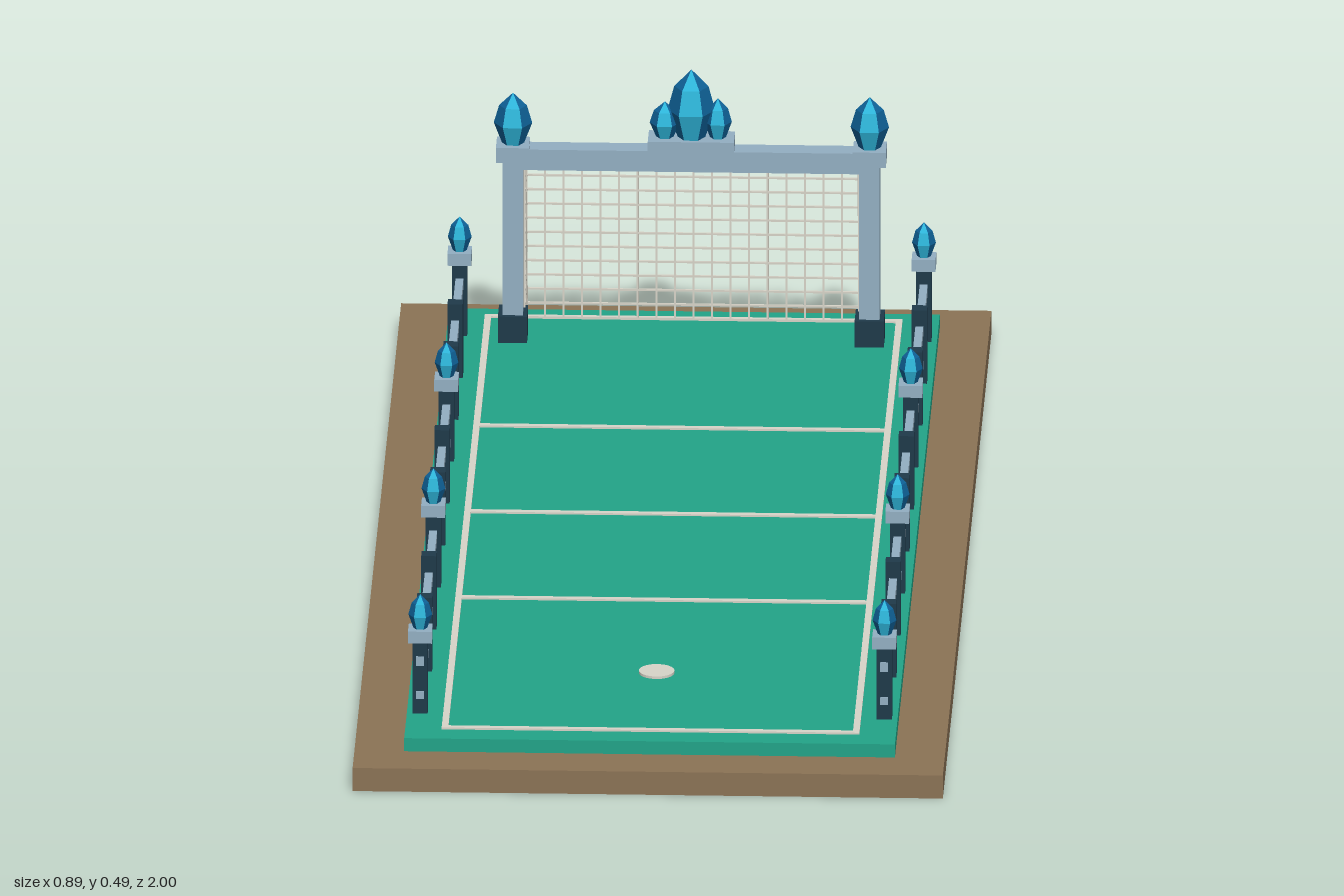
import * as THREE from 'three';
import { mergeGeometries } from 'three/addons/utils/BufferGeometryUtils.js';

const mat = (name, color) => {
  const m = new THREE.MeshStandardMaterial({ color });
  m.name = name;
  return m;
};

export function createModel() {
  const brown = mat('earth brown', 0x8b7355);
  const green = mat('turf green', 0x22a488);
  const pale = mat('line white', 0xd8d4c8);
  const steel = mat('pale steel', 0x93afc2);
  const navy = mat('dark slate', 0x1f3a4a);
  const blue = mat('panel blue', 0x1a62a0);
  const cyan = mat('crystal cyan', 0x2eb4d8);
  const deep = mat('crystal deep blue', 0x0f6298);

  const model = new THREE.Group();
  model.name = 'pitch';

  const add = (parent, name, geometry, material) => {
    const mesh = new THREE.Mesh(geometry, material);
    mesh.name = name;
    parent.add(mesh);
    return mesh;
  };
  // Box spanning y0..y1, centred on x and z
  const boxGeo = (x, y0, y1, z, w, d) =>
    new THREE.BoxGeometry(w, y1 - y0, d).translate(x, (y0 + y1) / 2, z);
  const box = (parent, name, material, ...size) => add(parent, name, boxGeo(...size), material);

  // Six-sided faceted crystal with alternating facet colours
  const crystal = (parent, name, x, y, z, r, h) => {
    const profile = [[0, 0], [0.58, 0], [1, 0.4], [0.72, 0.75], [0, 1]]
      .map(([a, b]) => new THREE.Vector2(a * r, b * h));
    const g = new THREE.LatheGeometry(profile, 6, -Math.PI / 6).toNonIndexed();
    g.computeVertexNormals();
    const count = (profile.length - 1) * 6;
    for (let i = 0; i < 6; i++) g.addGroup(i * count, count, i % 2);
    add(parent, name, g, [cyan, deep]).position.set(x, y, z);
  };

  // Ground
  box(model, 'basePlate', brown, 0, 0, 0.037, 0, 0.89, 2);
  box(model, 'turf', green, 0, 0.037, 0.058, 0, 0.74, 1.85);

  // Pitch markings
  const lines = [-1, 1].map(s => boxGeo(s * 0.31, 0.058, 0.061, -0.005, 0.01, 1.78));
  for (const z of [-0.89, -0.42, -0.05, 0.32, 0.88]) {
    lines.push(boxGeo(0, 0.058, 0.061, z, 0.61, 0.01));
  }
  add(model, 'pitchLines', mergeGeometries(lines), pale);
  add(model, 'spot', new THREE.CylinderGeometry(0.027, 0.027, 0.004, 20).translate(0, 0.06, 0.63), pale);

  // Side fences
  for (const side of [-1, 1]) {
    const fence = new THREE.Group();
    fence.name = side > 0 ? 'leftFence' : 'rightFence';
    model.add(fence);
    const x = side * 0.35;
    box(fence, 'topRail', steel, x, 0.135, 0.15, -0.005, 0.012, 1.65);
    box(fence, 'panel', blue, x, 0.096, 0.125, -0.005, 0.008, 1.625);
    box(fence, 'bottomRail', steel, x, 0.082, 0.094, -0.005, 0.012, 1.65);
    for (let i = 0; i < 10; i++) {
      const z = 0.807 - i * 0.1806;
      box(fence, 'post', navy, x, 0.058, 0.176, z, 0.023, 0.022);
      if (i % 3 === 0) {
        box(fence, 'postCap', steel, x, 0.173, 0.192, z, 0.036, 0.036);
        crystal(fence, 'postCrystal', x, 0.192, z, 0.018, 0.054);
      }
    }
  }

  // Goal frame
  const goal = new THREE.Group();
  goal.name = 'goal';
  model.add(goal);
  const gz = -0.8;
  for (const s of [-1, 1]) {
    const x = s * 0.269;
    box(goal, 'goalPost', steel, x, 0.058, 0.352, gz, 0.031, 0.038);
    box(goal, 'goalPostFoot', navy, x, 0.06, 0.102, gz, 0.044, 0.052);
    box(goal, 'goalPostCap', steel, x, 0.349, 0.373, gz, 0.05, 0.05);
    crystal(goal, 'goalPostCrystal', x, 0.373, gz, 0.029, 0.08);
  }
  box(goal, 'crossbar', steel, 0, 0.335, 0.368, gz, 0.52, 0.034);
  box(goal, 'crystalPlinth', steel, 0, 0.366, 0.386, gz, 0.13, 0.05);
  crystal(goal, 'centreCrystal', 0, 0.386, gz, 0.036, 0.108);
  crystal(goal, 'sideCrystal', -0.04, 0.386, gz, 0.023, 0.056);
  crystal(goal, 'sideCrystal', 0.04, 0.386, gz, 0.021, 0.062);

  // Net strands: back, roof and both sides
  const t = 0.003, bottom = 0.061, top = 0.335, back = -0.885, front = -0.817;
  const midZ = (back + front) / 2, depth = front - back, half = 0.252;
  const strands = [];
  for (let i = 0; i <= 18; i++) {
    const x = -half + (2 * half * i) / 18;
    strands.push(boxGeo(x, bottom, top, back, t, t));
    strands.push(boxGeo(x, top - t, top, midZ, t, depth));
  }
  for (let j = 0; j <= 12; j++) {
    const y = bottom + ((top - bottom) * j) / 12;
    strands.push(boxGeo(0, y - t / 2, y + t / 2, back, 2 * half, t));
    for (const s of [-1, 1]) strands.push(boxGeo(s * half, y - t / 2, y + t / 2, midZ, t, depth));
  }
  for (let k = 0; k <= 3; k++) {
    const z = front - (depth * k) / 3;
    strands.push(boxGeo(0, top - t, top, z, 2 * half, t));
    for (const s of [-1, 1]) strands.push(boxGeo(s * half, bottom, top, z, t, t));
  }
  add(goal, 'net', mergeGeometries(strands), pale);

  // Sloping net braces
  for (const s of [-1, 1]) {
    const length = Math.hypot(depth, top - bottom);
    const brace = box(goal, 'netBrace', pale, 0, -length / 2, length / 2, 0, 0.005, 0.005);
    brace.position.set(s * half, (top + bottom) / 2, midZ);
    brace.rotation.x = Math.atan2(depth, top - bottom);
  }

  return model;
}
